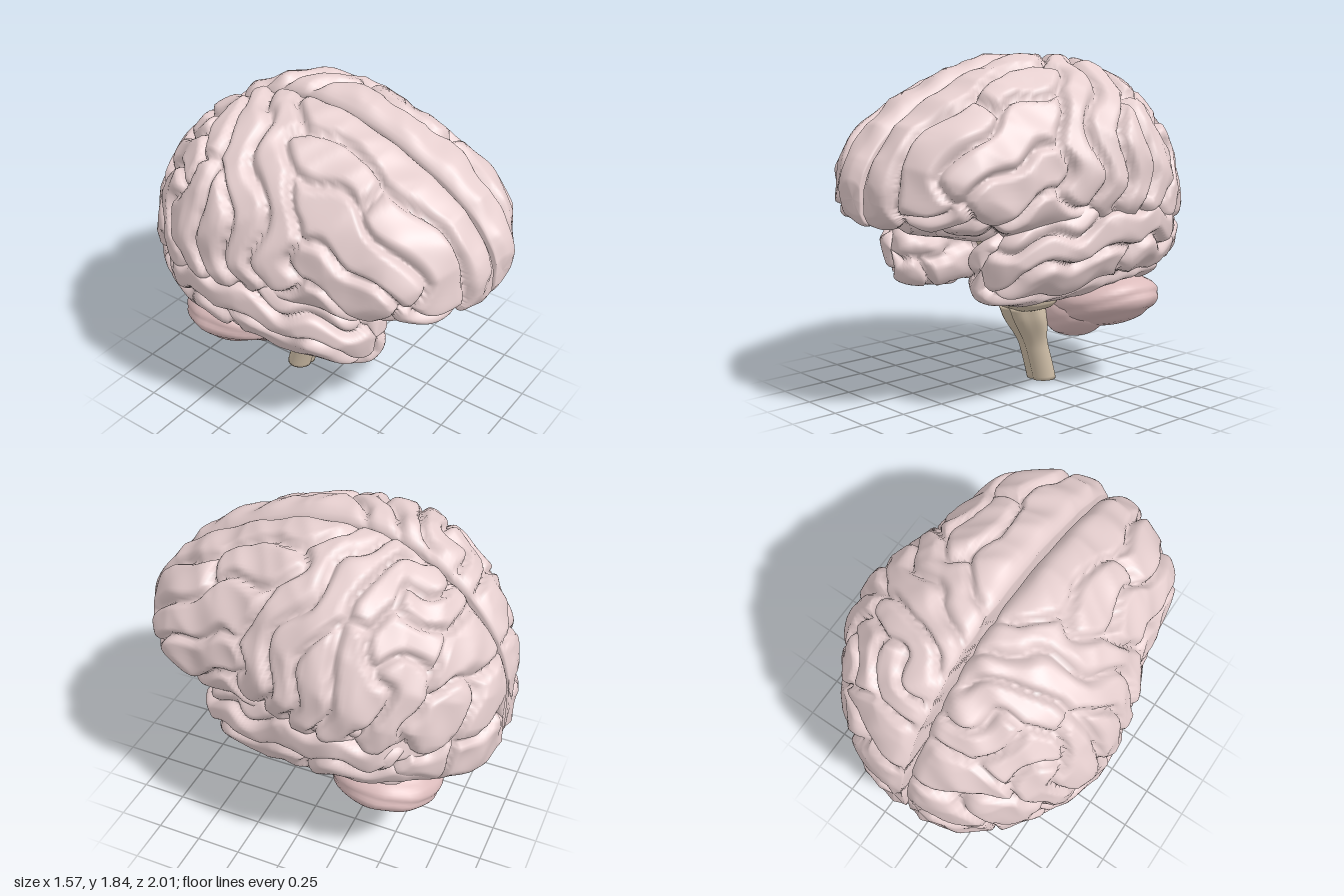
import * as THREE from 'three';
import { mergeVertices } from 'three/addons/utils/BufferGeometryUtils.js';

const mat = (color) => new THREE.MeshStandardMaterial({ color });
const CORTEX = mat(0xe6cfcf), CEREBELLUM = mat(0xdcbcbc), STEM = mat(0xd0bfa8);

// Smooth lookup in a table of rows [z, ...values] with z falling
function lookup(table, z) {
  let i = 0;
  while (i < table.length - 2 && z < table[i + 1][0]) i++;
  const slope = (n, k) => {
    const a = table[Math.max(n - 1, 0)], b = table[Math.min(n + 1, table.length - 1)];
    return (b[k] - a[k]) / (b[0] - a[0]);
  };
  const a = table[i], b = table[i + 1], h = b[0] - a[0];
  const t = THREE.MathUtils.clamp((z - a[0]) / h, 0, 1), t2 = t * t, t3 = t2 * t;
  return a.slice(1).map((v, n) => {
    const k = n + 1;
    return (2 * t3 - 3 * t2 + 1) * v + (t3 - 2 * t2 + t) * h * slope(i, k)
      + (3 * t2 - 2 * t3) * b[k] + (t3 - t2) * h * slope(i + 1, k);
  });
}

// Hemisphere stations: z, top, widest height, bottom, width
const HEMI = [
  [0.985, 1.21, 1.16, 1.07, 0.1], [0.95, 1.31, 1.17, 1.01, 0.2], [0.85, 1.45, 1.18, 0.99, 0.38],
  [0.7, 1.57, 1.18, 0.97, 0.53], [0.5, 1.68, 1.18, 0.92, 0.58], [0.25, 1.78, 1.18, 0.92, 0.63],
  [0, 1.83, 1.18, 0.94, 0.71], [-0.25, 1.83, 1.17, 0.9, 0.745], [-0.45, 1.77, 1.15, 0.72, 0.7],
  [-0.65, 1.64, 1.1, 0.64, 0.6], [-0.82, 1.46, 1.05, 0.6, 0.45], [-0.93, 1.27, 1.0, 0.62, 0.29],
  [-0.99, 1.06, 0.92, 0.75, 0.12]];

// Temporal lobe stations: z, centre x, centre y, radius x, radius y, lift of the outer side
const TEMPORAL = [
  [0.54, 0.36, 0.78, 0.05, 0.08, 0.02], [0.5, 0.375, 0.77, 0.13, 0.14, 0.05], [0.4, 0.405, 0.78, 0.19, 0.18, 0.08],
  [0.25, 0.435, 0.8, 0.22, 0.21, 0.09], [0.1, 0.455, 0.83, 0.24, 0.24, 0.09], [-0.1, 0.48, 0.87, 0.255, 0.25, 0.09],
  [-0.3, 0.49, 0.9, 0.265, 0.26, 0.08], [-0.5, 0.45, 0.89, 0.245, 0.25, 0.06], [-0.76, 0.35, 0.83, 0.14, 0.19, 0.03]];

// Sections: angle 0 is the top, 90 the outer side, 180 the bottom, then back up the inner side
function hemiSection(z, deg) {
  const [top, mid, bottom, width] = lookup(HEMI, z), drop = 0.05;
  if (deg >= 180) return new THREE.Vector3(0.02, THREE.MathUtils.lerp(bottom, top - drop, (deg - 180) / 180), z);
  const a = THREE.MathUtils.degToRad(deg), c = Math.cos(a), s = Math.sin(a);
  if (c > 0) return new THREE.Vector3(0.02 + width * s, mid + (top - mid) * c - drop * Math.exp(-width * s / 0.04), z);
  return new THREE.Vector3(0.02 + width * Math.pow(s, 0.65), mid - (mid - bottom) * Math.pow(-c, 0.65), z);
}
function temporalSection(z, deg) {
  const [cx, cy, rx, ry, lift] = lookup(TEMPORAL, z), a = THREE.MathUtils.degToRad(deg);
  const pw = (v) => Math.sign(v) * Math.pow(Math.abs(v), 0.92);
  return new THREE.Vector3(cx + rx * pw(Math.sin(a)), cy + ry * pw(Math.cos(a)) + lift * Math.sin(a), z);
}

// Centre lines of the folds, as [z, angle]
const HEMI_FOLDS = [
  // frontal, running lengthwise
  [[0.965, 140], [0.975, 90], [0.96, 36], [0.8, 18], [0.5, 12], [0.2, 11], [-0.12, 9]],
  [[0.88, 95], [0.87, 62], [0.75, 46], [0.55, 37]], [[0.42, 34], [0.2, 32], [0.03, 28]],
  [[0.77, 82], [0.6, 62], [0.4, 58], [0.2, 50]],
  [[0.7, 104], [0.5, 90], [0.32, 82]],
  [[0.5, 128], [0.35, 115], [0.18, 112]],
  [[0.84, 135], [0.76, 122]],
  [[0.78, 170], [0.65, 166], [0.5, 168]],
  [[0.7, 140], [0.6, 144]],
  // before and behind the central furrow
  [[-0.25, 6], [-0.2, 14], [-0.05, 24], [-0.04, 40], [0.1, 60], [0.13, 90]],
  [[-0.41, 8], [-0.24, 24], [-0.2, 40], [-0.06, 62], [-0.03, 98]],
  // parietal
  [[-0.56, 8], [-0.46, 22], [-0.38, 38]],
  [[-0.72, 12], [-0.6, 26]], [[-0.62, 42], [-0.52, 46]],
  [[-0.24, 58], [-0.2, 78], [-0.17, 98]],
  [[-0.36, 56], [-0.46, 72], [-0.34, 94]],
  [[-0.6, 62], [-0.63, 76], [-0.54, 94]],
  // occipital
  [[-0.84, 16], [-0.77, 44]],
  [[-0.82, 70], [-0.74, 90]],
  [[-0.94, 40], [-0.92, 75]],
  [[-0.96, 105], [-0.88, 125], [-0.84, 140]],
  [[-0.72, 112], [-0.66, 128]],
  [[-0.52, 112], [-0.4, 122]],
  [[-0.8, 165], [-0.55, 165]]];
const TEMPORAL_FOLDS = [
  [[0.42, 50], [0.2, 48], [-0.1, 46], [-0.4, 48]],
  [[0.5, 100], [0.3, 88], [0.05, 94], [-0.2, 84], [-0.6, 88]],
  [[0.38, 138], [0.1, 132], [-0.1, 124]],
  [[-0.25, 130], [-0.6, 125]],
  [[0.45, 200], [0.2, 185], [0, 175], [-0.5, 165]],
  [[0.3, 250], [0, 235], [-0.5, 215]],
  [[0.4, 320], [-0.5, 320]]];

// Lofts sections from front to back, then sinks furrows midway between fold lines
function foldedLobe(section, zFront, zBack, folds, rows, cols) {
  const outer = Math.round(cols * 0.74), pts = [], index = [];
  for (let i = 0; i <= rows; i++) {
    const spread = 0.4 * (1 - 2 * i / rows) + 0.6 * Math.cos(Math.PI * i / rows);
    const z = (zFront + zBack) / 2 + (zFront - zBack) / 2 * spread;
    const ring = [];
    for (let j = 0; j < cols; j++)
      ring.push(section(z, j < outer ? 180 * j / outer : 180 + 180 * (j - outer) / (cols - outer)));
    if (i === 0 || i === rows) {
      const mid = ring.reduce((s, p) => s.add(p), new THREE.Vector3()).divideScalar(cols);
      ring.forEach((p) => p.copy(mid));
    }
    pts.push(...ring);
  }
  for (let i = 0; i < rows; i++) for (let j = 0; j < cols; j++) {
    const a = i * cols + j, b = i * cols + (j + 1) % cols;
    if (i > 0) index.push(a, b, a + cols);
    if (i < rows - 1) index.push(b, b + cols, a + cols);
  }
  const geo = new THREE.BufferGeometry().setFromPoints(pts);
  geo.setIndex(index);
  geo.computeVertexNormals();
  const segs = folds.map((f) => f.slice(1).map((p, k) => new THREE.Line3(section(...f[k]), section(...p))));
  const pos = geo.attributes.position, nor = geo.attributes.normal;
  const q = new THREE.Vector3(), n = new THREE.Vector3(), near = new THREE.Vector3();
  for (let v = cols; v < pts.length - cols; v++) {
    const p = pts[v];
    // wavy offset makes the furrows wander
    q.set(p.x + 0.032 * Math.sin(17 * p.z + 9 * p.y), p.y + 0.032 * Math.sin(20 * p.z + 7 * p.x),
      p.z + 0.034 * Math.sin(19 * p.y + 13 * p.x));
    let d1 = 9, d2 = 9;
    for (const lines of segs) {
      let d = 9;
      for (const l of lines) d = Math.min(d, l.closestPointToPoint(q, true, near).distanceTo(q));
      if (d < d1) { d2 = d1; d1 = d; } else if (d < d2) d2 = d;
    }
    const furrow = Math.max(0, 1 - (d2 - d1) / 0.09);
    const lump = 0.012 * Math.sin(16 * p.x + 5 * p.y) * Math.sin(15 * p.y + 2) * Math.sin(14 * p.z + 6 * p.x)
      + 0.014 * (0.6 - Math.abs(Math.sin(9 * p.x + 13 * p.z + 4 * p.y) * Math.cos(14 * p.y - 8 * p.z)));
    // the flat inner face stays nearly smooth
    const strength = 0.2 + 0.8 * THREE.MathUtils.smoothstep(p.x, 0.02, 0.09);
    n.fromBufferAttribute(nor, v);
    p.addScaledVector(n, strength * (0.012 + lump - 0.06 * furrow * furrow));
    pos.setXYZ(v, p.x, p.y, p.z);
  }
  geo.computeVertexNormals();
  return geo;
}

// Mirrored copy in x with the faces turned back outward
function mirrored(geo) {
  const g = geo.clone().scale(-1, 1, 1), ix = g.index.array;
  for (let i = 0; i < ix.length; i += 3) [ix[i], ix[i + 1]] = [ix[i + 1], ix[i]];
  g.computeVertexNormals();
  return g;
}

// Moves every vertex of a built-in geometry by a rule, with seams welded
function shaped(geo, rule) {
  geo.deleteAttribute('uv');
  geo.deleteAttribute('normal');
  const g = mergeVertices(geo, 1e-5), pos = g.attributes.position, v = new THREE.Vector3();
  for (let i = 0; i < pos.count; i++) {
    rule(v.fromBufferAttribute(pos, i));
    pos.setXYZ(i, v.x, v.y, v.z);
  }
  g.computeVertexNormals();
  return g;
}

// Ellipsoid with fine curved ridges; tilt lifts its outer side
const ridged = (x, y, z, rx, ry, rz, count, depth, tilt = 0) =>
  shaped(new THREE.SphereGeometry(1, 40, 32), (v) => {
    const k = 1 - depth * Math.pow(Math.abs(Math.cos(count * (v.y + 0.2 * v.z * v.z - 0.15 * v.x))), 6)
      + 0.02 * Math.sin(5 * v.x + 3 * v.z) * Math.sin(4 * v.y + 6 * v.z);
    v.set(x + rx * k * v.x, y + ry * k * v.y + tilt * v.x, z + rz * k * v.z);
  });

export function createModel() {
  const group = new THREE.Group();
  const add = (name, geo, material) => {
    const m = new THREE.Mesh(geo, material);
    m.name = name;
    group.add(m);
  };
  const addPair = (name, geo, material) => {
    add('left' + name, geo, material);
    add('right' + name, mirrored(geo), material);
  };

  // Cerebrum
  addPair('Hemisphere', foldedLobe(hemiSection, 0.985, -0.99, HEMI_FOLDS, 146, 140), CORTEX);
  addPair('TemporalLobe', foldedLobe(temporalSection, 0.54, -0.76, TEMPORAL_FOLDS, 84, 100), CORTEX);

  // Cerebellum
  addPair('CerebellumLobe', ridged(0.29, 0.48, -0.45, 0.295, 0.155, 0.3, 5, 0.035, 0.05), CEREBELLUM);
  addPair('CerebellumLowerLobe', ridged(0.19, 0.4, -0.33, 0.2, 0.135, 0.17, 4, 0.03, 0.04), CEREBELLUM);
  add('cerebellumVermis', ridged(0, 0.49, -0.42, 0.13, 0.17, 0.24, 7, 0.04), CEREBELLUM);

  // Pons, a rounded block leaning forward with cross ridges
  add('pons', shaped(new THREE.SphereGeometry(1, 44, 40), (v) => {
    const box = (c) => Math.sign(c) * Math.pow(Math.abs(c), 0.62);
    const k = 1 - 0.02 * Math.pow(Math.cos(11 * v.y + v.x * v.x), 2);
    const notch = 0.012 * Math.exp(-Math.pow(v.x / 0.12, 2)) * Math.max(0, v.z);
    v.set(0.215 * k * box(v.x), 0.152 * box(v.y), 0.165 * k * box(v.z) - notch);
    v.z += v.y * 0.25 - 0.05;
    v.y += 0.58;
  }), STEM);

  // Medulla, flaring upward, with a groove down the front
  add('medulla', shaped(new THREE.CylinderGeometry(1, 1, 0.45, 40, 22), (v) => {
    const y = v.y + 0.225, flare = THREE.MathUtils.smoothstep(y, 0.2, 0.4);
    const r = Math.hypot(v.x, v.z) || 1, front = Math.max(0, v.z / r);
    const groove = 1 - 0.16 * front * Math.exp(-Math.pow(v.x / 0.13, 2));
    const olive = 1 + 0.1 * flare * Math.pow(Math.sin(3 * Math.atan2(v.x, v.z)), 2);
    v.set(v.x * (0.088 + 0.035 * flare) * olive, y,
      v.z * (0.078 + 0.035 * flare) * groove * olive - 0.235 + 0.27 * y + 0.18 * y * y);
  }), STEM);

  // Peduncles, two ribbed stalks spreading upward, and the core between them
  addPair('Peduncle', shaped(new THREE.CylinderGeometry(1, 1, 0.26, 36, 8), (v) => {
    const t = (v.y + 0.13) / 0.26, rib = 1 + 0.04 * Math.cos(9 * Math.atan2(v.x, v.z));
    v.set(0.1 + 0.032 * t + v.x * rib * (0.068 + 0.028 * t), 0.64 + 0.26 * t, v.z * rib * 0.08 - 0.02 + 0.09 * t);
  }), STEM);
  add('midbrain', ridged(0, 0.74, -0.05, 0.11, 0.095, 0.19, 3, 0.04), CEREBELLUM);

  return group;
}
